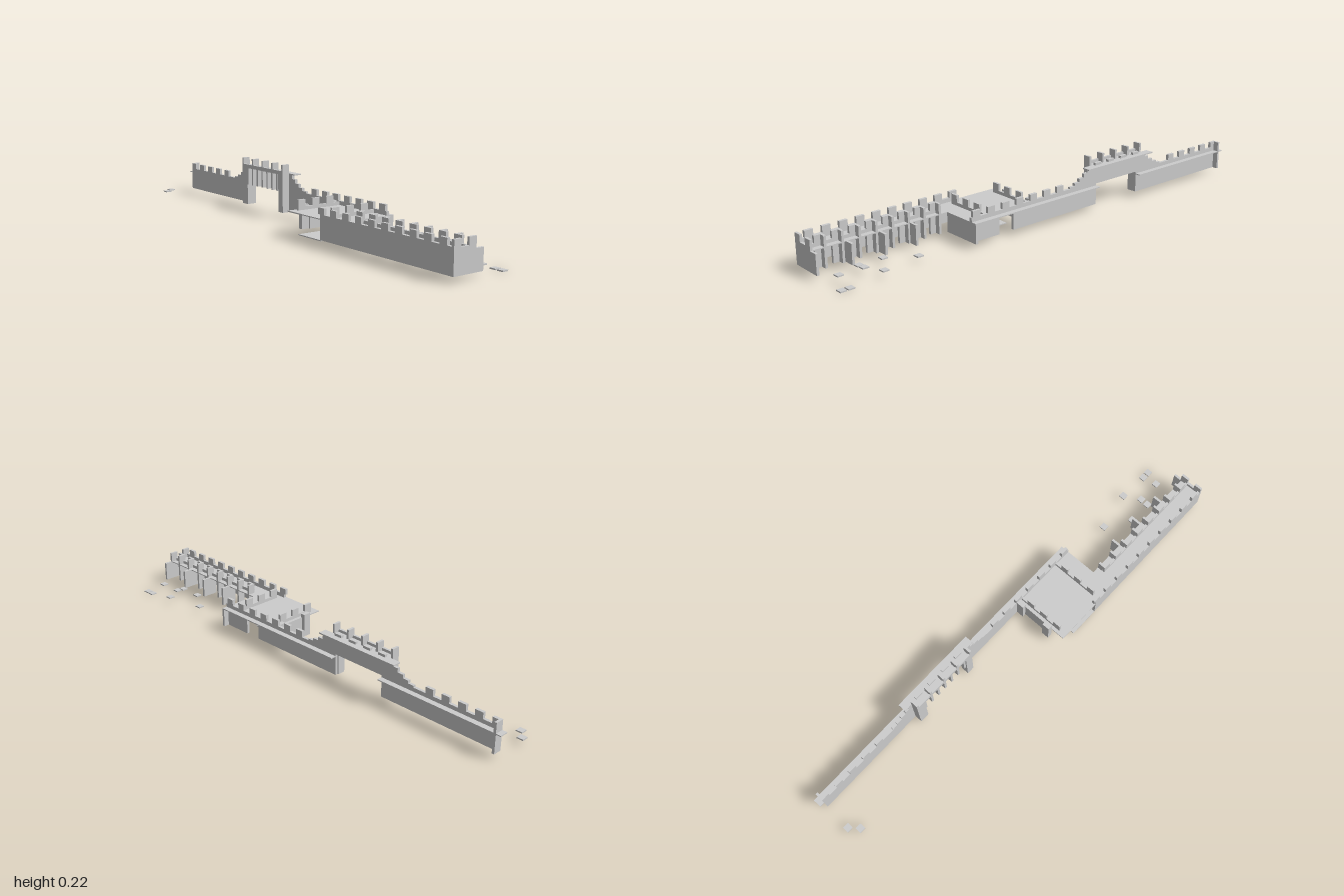
import * as THREE from 'three';

export function createModel() {
  const model = new THREE.Group();
  model.name = 'castleWall';
  const stone = new THREE.MeshStandardMaterial({ color: 0xcccccc });
  stone.name = 'paleStone';

  const BASE = 0.022, DECK = 0.102, SILL = 0.118, TOP = 0.143;

  // Box given by its limits on each axis
  function box(name, x0, x1, y0, y1, z0, z1, parent = model) {
    const mesh = new THREE.Mesh(new THREE.BoxGeometry(x1 - x0, y1 - y0, z1 - z0), stone);
    mesh.name = name;
    mesh.position.set((x0 + x1) / 2, (y0 + y1) / 2, (z0 + z1) / 2);
    parent.add(mesh);
  }
  function group(name) {
    const g = new THREE.Group();
    g.name = name;
    model.add(g);
    return g;
  }

  // Long curtain wall: side profile (z, y) stepping up over the gate, with two openings
  const rise = [[-0.05, SILL], [-0.075, 0.125], [-0.1, 0.136], [-0.125, 0.15], [-0.15, 0.166], [-0.17, 0.187]];
  const shape = new THREE.Shape();
  shape.moveTo(0.42, BASE);
  shape.lineTo(0.42, SILL);
  rise.forEach(([z, y], i) => {
    shape.lineTo(z, i ? rise[i - 1][1] : SILL);
    shape.lineTo(z, y);
  });
  [...rise].reverse().forEach(([z, y], i, list) => {
    shape.lineTo(-0.68 - z, y);
    shape.lineTo(-0.68 - z, i < list.length - 1 ? list[i + 1][1] : SILL);
  });
  [[-0.98, SILL], [-0.98, BASE], [-0.455, BASE], [-0.455, 0.11], [-0.22, 0.11], [-0.22, BASE],
    [0.22, BASE], [0.22, DECK], [0.29, DECK], [0.29, BASE]].forEach(([z, y]) => shape.lineTo(z, y));
  const wallGeometry = new THREE.ExtrudeGeometry(shape, { depth: 0.012, bevelEnabled: false });
  wallGeometry.rotateY(-Math.PI / 2).translate(0.112, 0, 0);
  const wall = new THREE.Mesh(wallGeometry, stone);
  wall.name = 'curtainWall';
  model.add(wall);

  // Curtain wall battlements, walkways and end pillar
  const merlons = group('curtainMerlons');
  for (let k = 8; k < 15; k++) {
    const z = 0.952 - 0.0695 * k;
    box('merlon', 0.1, 0.112, SILL, TOP, z - 0.017, z + 0.017, merlons);
  }
  for (let k = 0; k < 5; k++) {
    const z = -0.963 + 0.0715 * k;
    box('merlon', 0.1, 0.112, SILL, TOP, z - 0.017, z + 0.017, merlons);
  }
  box('farWalkway', 0.1, 0.135, 0.098, DECK, -1, -0.455);
  box('nearWalkway', 0.1, 0.135, 0.098, DECK, -0.22, 0.42);
  box('raisedWalkway', 0.1, 0.135, 0.182, 0.187, -0.53, -0.155);
  box('endPillar', 0.1, 0.135, BASE, TOP, -0.98, -0.97);

  // Gatehouse: piers, overhanging deck, parapet and fins
  const gate = group('gatehouse');
  box('pier', 0.068, 0.1, BASE, 0.187, -0.495, -0.455, gate);
  box('pier', 0.068, 0.1, BASE, 0.187, -0.225, -0.193, gate);
  box('gateDeck', 0.068, 0.1, 0.182, 0.187, -0.495, -0.193, gate);
  box('gateParapet', 0.068, 0.078, 0.187, 0.198, -0.495, -0.193, gate);
  for (let k = 0; k < 9; k++) {
    const z = -0.198 - 0.0365 * k;
    box('corbelFin', 0.068, 0.1, 0.11, 0.187, z - 0.005, z + 0.005, gate);
    if (k % 2 === 0) box('gateMerlon', 0.068, 0.1, 0.187, 0.225, z - 0.005, z + 0.005, gate);
  }
  for (let k = 0; k < 4; k++) {
    const z = -0.232 - 0.073 * k;
    box('lowMerlon', 0.1, 0.112, 0.187, 0.197, z - 0.017, z + 0.017, gate);
  }

  // Corner platform with its walls, floor, buttresses and two parapets
  const corner = group('cornerPlatform');
  box('platformDeck', -0.135, 0.1, 0.098, DECK, 0.12, 0.42, corner);
  box('platformFloor', -0.135, 0.033, 0.018, 0.022, 0.19, 0.325, corner);
  box('frontWall', -0.037, 0.135, BASE, DECK, 0.41, 0.42, corner);
  box('backWall', -0.037, 0.1, BASE, 0.098, 0.12, 0.132, corner);
  box('buttress', -0.07, -0.037, BASE, SILL, 0.105, 0.125, corner);
  box('buttress', 0.068, 0.1, BASE, SILL, 0.105, 0.125, corner);
  for (const z of [0.134, 0.34]) {
    box('parapet', -0.102, 0.1, DECK, 0.115, z, z + 0.01, corner);
    for (const x of [-0.102, -0.033, 0.035])
      box('parapetMerlon', x, x + 0.034, 0.115, TOP, z, z + 0.01, corner);
  }

  // Front range: outer wall, walkway and end wall with a notch
  const range = group('frontRange');
  box('outerWall', -0.135, -0.123, BASE, SILL, 0.32, 1, range);
  box('walkway', -0.123, -0.037, 0.098, DECK, 0.42, 1, range);
  box('endWall', -0.135, 0, BASE, DECK, 0.99, 1, range);
  box('endParapet', -0.135, -0.034, DECK, 0.115, 0.99, 1, range);
  box('endMerlon', -0.135, -0.102, 0.115, TOP, 0.99, 1, range);
  box('endMerlon', -0.067, -0.034, 0.115, TOP, 0.99, 1, range);
  box('innerParapet', -0.07, -0.059, DECK, 0.115, 0.45, 0.99, range);
  for (let k = 0; k < 10; k++) {
    const z = 0.952 - 0.0695 * k;
    box('outerMerlon', -0.135, -0.123, SILL, TOP, z - 0.017, z + 0.017, range);
    if (k > 7) continue;
    // L-shaped inner merlon over a supporting post
    box('innerMerlon', -0.07, -0.059, 0.115, TOP, z - 0.017, z + 0.017, range);
    box('innerMerlonReturn', -0.059, -0.037, DECK, TOP, z - 0.017, z - 0.007, range);
    box('post', -0.07, -0.037, BASE, 0.098, z - 0.017, z - 0.007, range);
    box('postReturn', -0.07, -0.059, BASE, 0.098, z - 0.007, z + 0.017, range);
  }
  for (const z of [0.585, 0.718, 0.855])
    box('crossWall', -0.07, 0, BASE, DECK, z - 0.005, z + 0.005, range);

  // Loose paving slabs
  const slabs = group('looseSlabs');
  [[-0.016, 0.022, -0.985], [-0.053, 0.022, -0.955], [0.085, 0.022, 0.64], [0.016, 0.022, 0.745],
    [0.118, 0.025, 0.807], [0.016, 0.022, 0.845], [0.05, 0.025, 0.845], [0.05, 0.025, 0.945],
    [0.118, 0, 0.945], [0.118, 0, 0.977]].forEach(([x, y, z]) =>
    box('slab', x - 0.013, x + 0.013, y, y + 0.005, z - 0.013, z + 0.013, slabs));

  return model;
}
